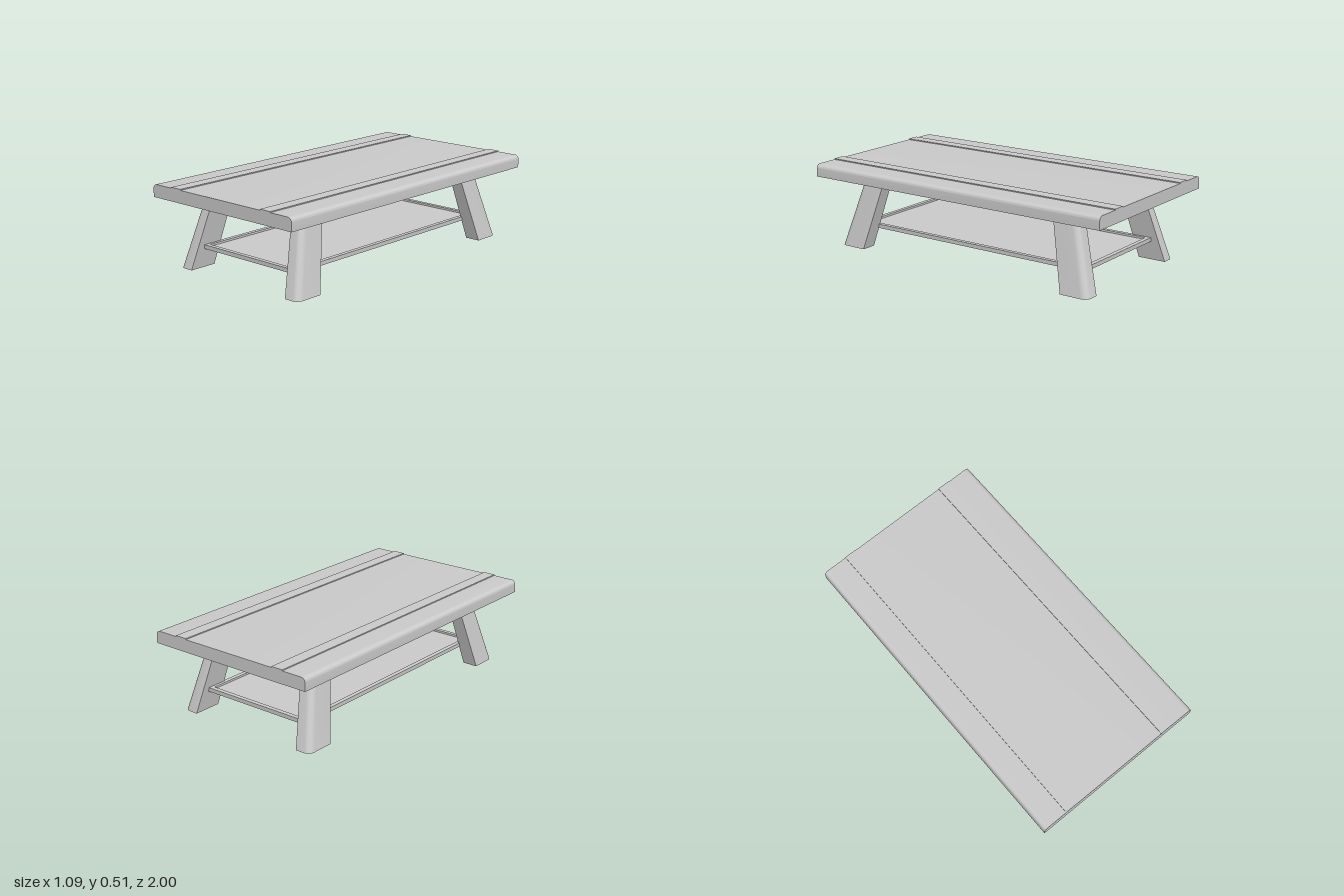
import * as THREE from 'three';
import { toCreasedNormals } from 'three/addons/utils/BufferGeometryUtils.js';

const material = new THREE.MeshStandardMaterial({ color: 0xcccccc });

function add(parent, name, geometry, x = 0, y = 0, z = 0) {
  const mesh = new THREE.Mesh(geometry, material);
  mesh.name = name;
  mesh.position.set(x, y, z);
  parent.add(mesh);
  return mesh;
}

// Outline of a rectangle with half sizes a, b; c adds points beside each corner
function rectPoints(a, b, c = 0) {
  const points = [];
  for (const [sx, sy] of [[1, 1], [-1, 1], [-1, -1], [1, -1]]) {
    const corner = new THREE.Vector2(sx * a, sy * b);
    if (!c) { points.push(corner); continue; }
    const onX = new THREE.Vector2(sx * (a - c), sy * b);
    const onY = new THREE.Vector2(sx * a, sy * (b - c));
    points.push(...(sx * sy > 0 ? [onY, corner, onX] : [onX, corner, onY]));
  }
  return points;
}

// Rectangular frame lying flat, its underside at y = 0
function frame(a, b, width, height, c = 0) {
  const shape = new THREE.Shape(rectPoints(a, b, c));
  shape.holes.push(new THREE.Path(rectPoints(a - width, b - width).reverse()));
  return new THREE.ExtrudeGeometry(shape, { depth: height, bevelEnabled: false }).rotateX(-Math.PI / 2);
}

// Splayed leg: rounded on its outer corner, leaning in towards the top
function legGeometry(sx, sz) {
  const top = 0.42, r = 0.4;
  const shape = new THREE.Shape();
  shape.moveTo(0, 0);
  shape.lineTo(sx, 0);
  shape.lineTo(sx, -sz * 0.77);
  shape.bezierCurveTo(sx, -sz * 0.9, sx * (1 - r * 0.45), -sz, sx * (1 - r), -sz);
  shape.lineTo(0, -sz);
  shape.closePath();
  const geometry = new THREE.ExtrudeGeometry(shape, { depth: top, bevelEnabled: false, curveSegments: 10 });
  geometry.rotateX(-Math.PI / 2);
  const p = geometry.attributes.position;
  for (let i = 0; i < p.count; i++) {
    const y = p.getY(i), u = Math.abs(p.getX(i)), v = Math.abs(p.getZ(i));
    const x = THREE.MathUtils.lerp(0.375 - 0.155 * y, 0.47 - 0.194 * y, u);
    const z = THREE.MathUtils.lerp(0.71 - 0.25 * y, 0.885 - 0.293 * y, v);
    p.setXYZ(i, sx * x, y, sz * z);
  }
  return toCreasedNormals(geometry, 0.6);
}

export function createModel() {
  const table = new THREE.Group();
  table.name = 'coffeeTable';

  // Table top with rounded upper long edges
  const w = 0.545, low = 0.426, high = 0.502, r = 0.026;
  const profile = new THREE.Shape();
  profile.moveTo(-w, low);
  profile.lineTo(w, low);
  profile.lineTo(w, high - r);
  profile.absarc(w - r, high - r, r, 0, Math.PI / 2);
  profile.lineTo(-w + r, high);
  profile.absarc(-w + r, high - r, r, Math.PI / 2, Math.PI);
  profile.closePath();
  const board = new THREE.ExtrudeGeometry(profile, { depth: 2, bevelEnabled: false, curveSegments: 8 });
  add(table, 'tableTop', toCreasedNormals(board.translate(0, 0, -1), 0.6));

  // Raised strips along the top
  for (const s of [-1, 1]) {
    add(table, 'topStrip', new THREE.BoxGeometry(0.076, 0.02, 2), s * 0.353, 0.498, 0);
  }

  // Apron, its lower outer corners cut upwards over the legs
  const apron = frame(0.393, 0.768, 0.045, 0.046, 0.03);
  const p = apron.attributes.position;
  for (let i = 0; i < p.count; i++) {
    const atCorner = Math.abs(p.getX(i)) > 0.39 && Math.abs(p.getZ(i)) > 0.765;
    if (atCorner && p.getY(i) < 0.01) p.setY(i, 0.021);
  }
  apron.computeVertexNormals();
  add(table, 'apron', apron, 0, 0.38, 0);

  // Legs
  for (const sx of [-1, 1]) {
    for (const sz of [-1, 1]) add(table, 'leg', legGeometry(sx, sz));
  }

  // Lower shelf: a panel set down inside a rim
  const shelf = new THREE.Group();
  shelf.name = 'shelf';
  add(shelf, 'shelfPanel', new THREE.BoxGeometry(0.67, 0.012, 1.546), 0, 0.121, 0);
  add(shelf, 'shelfRim', frame(0.362, 0.8, 0.027, 0.024), 0, 0.115, 0);
  table.add(shelf);

  return table;
}
